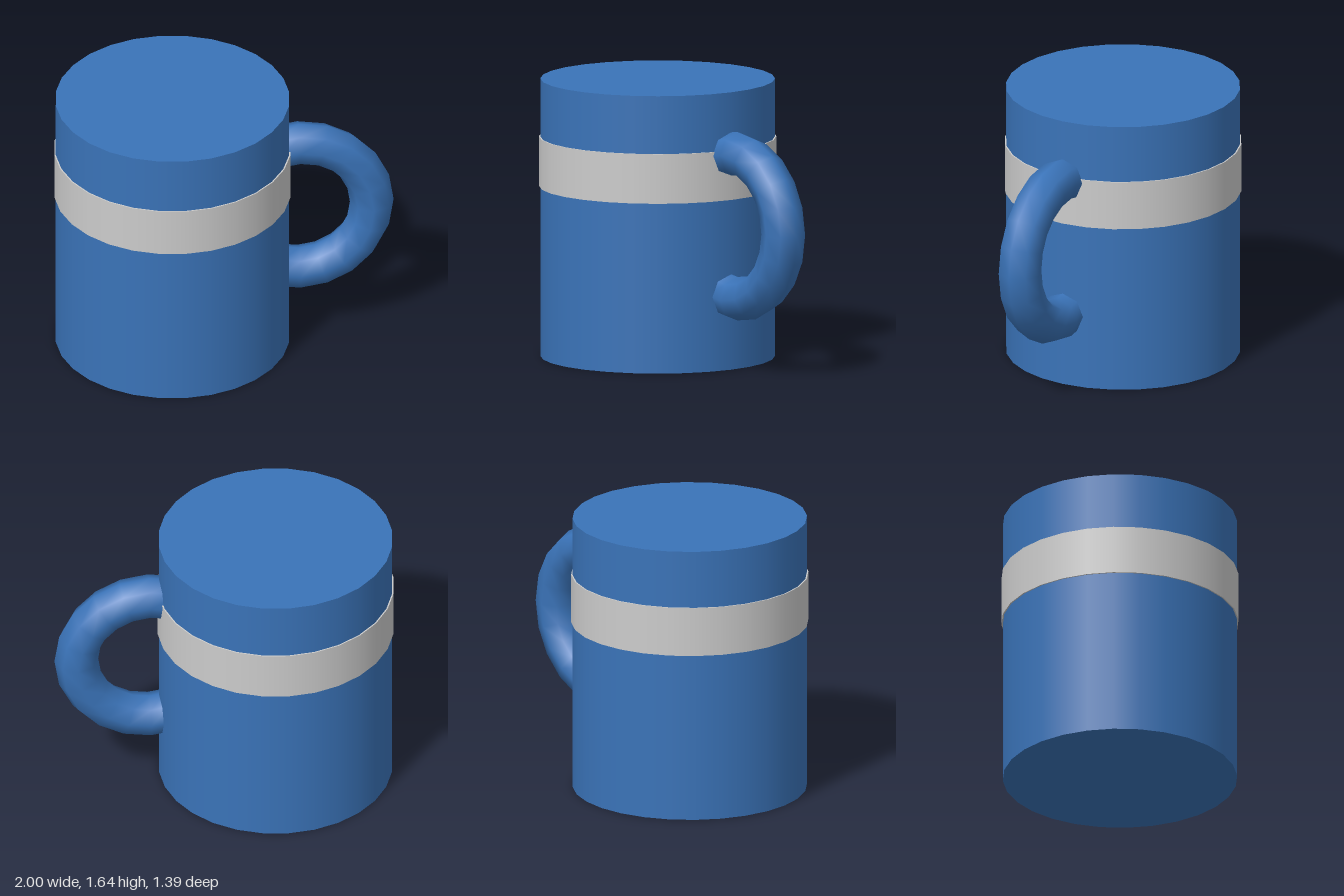
import * as THREE from 'three';

const BODY_X = -0.305;
const SIDES = 28;

export function createModel() {
  const mug = new THREE.Group();
  mug.name = 'mug';
  const blue = new THREE.MeshStandardMaterial({ color: 0x3a73b8 });
  const grey = new THREE.MeshStandardMaterial({ color: 0xcccccc });

  const add = (name, geometry, material, x, y) => {
    const mesh = new THREE.Mesh(geometry, material);
    mesh.name = name;
    mesh.position.set(x, y, 0);
    mug.add(mesh);
    return mesh;
  };

  // Solid cylindrical body, closed at top and bottom
  const height = 1.645;
  add('body', new THREE.CylinderGeometry(0.688, 0.688, height, SIDES), blue, BODY_X, height / 2);

  // Slightly wider band wrapped around the upper part
  add('band', new THREE.CylinderGeometry(0.696, 0.696, 0.294, SIDES), grey, BODY_X, 1.155);

  // Ring handle: the arc runs a little way into the body at both ends
  const step = Math.PI / 10;
  const handle = add('handle', new THREE.TorusGeometry(0.43, 0.129, 8, 12, 12 * step), blue, 0.44, 0.858);
  handle.rotation.z = -6 * step;

  return mug;
}
